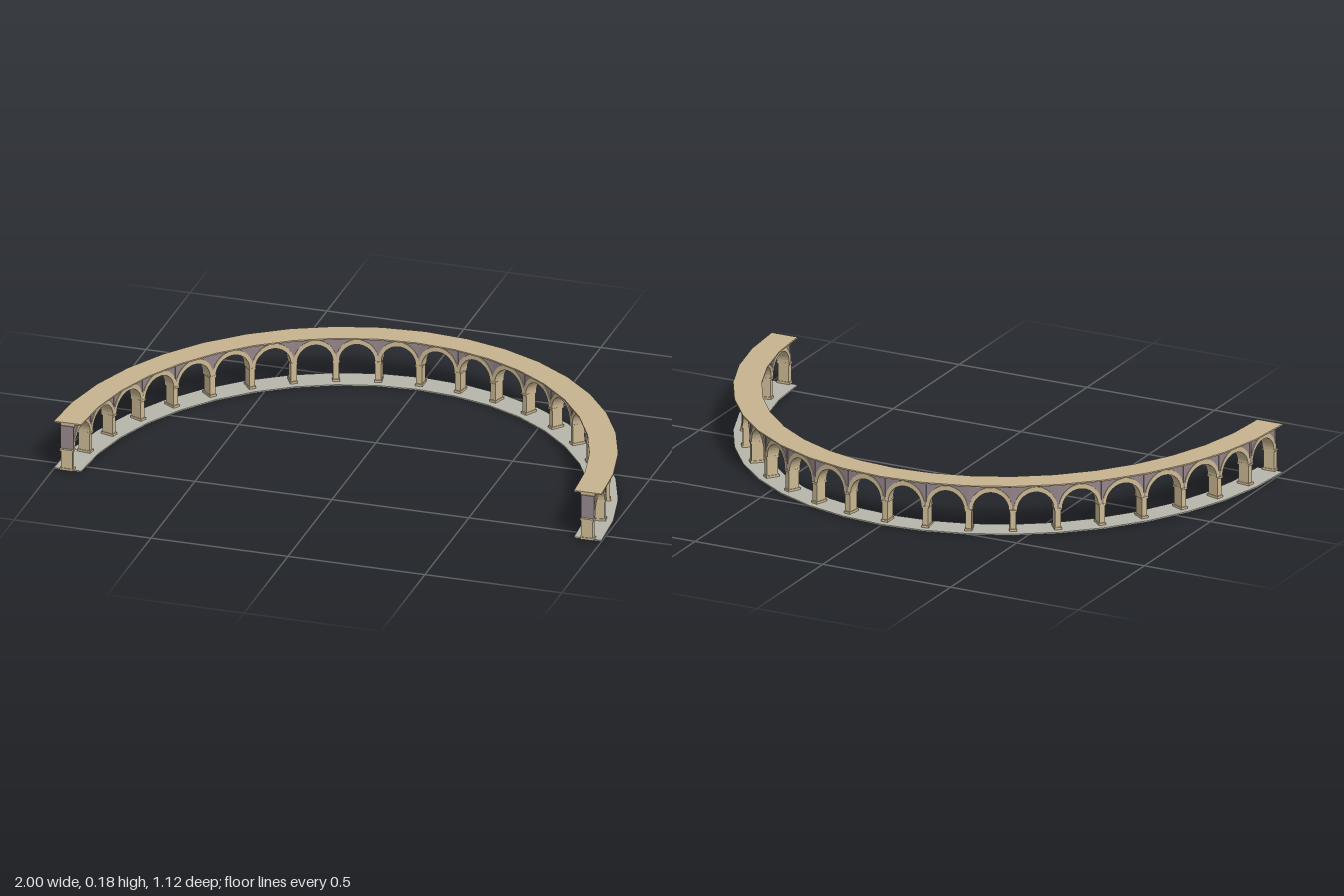
import * as THREE from 'three';

const BAYS = 20, ZC = 0.549;
const SPRING = 0.084, WALL_TOP = 0.17, RISE = 0.064;

const mat = (name, color) => {
  const m = new THREE.MeshStandardMaterial({ color });
  m.name = name;
  return m;
};

// point on the half-ellipse plan, at an offset from the arcade centreline
function plan(k, off = 0) {
  const t = (k / BAYS - 0.5) * Math.PI;
  return new THREE.Vector2((0.95 + off) * Math.sin(t), ZC - (1.06 + off) * Math.cos(t));
}

// curved slab of given half width between two heights
function band(name, half, y0, y1, material) {
  const pts = [];
  for (let k = 0; k <= BAYS; k++) pts.push(plan(k, half));
  for (let k = BAYS; k >= 0; k--) pts.push(plan(k, -half));
  const shape = new THREE.Shape(pts.map(p => new THREE.Vector2(p.x, -p.y)));
  const geo = new THREE.ExtrudeGeometry(shape, { depth: y1 - y0, bevelEnabled: false });
  geo.rotateX(-Math.PI / 2);
  const mesh = new THREE.Mesh(geo, material);
  mesh.name = name;
  mesh.position.y = y0;
  return mesh;
}

function box(name, w, y0, y1, d, material) {
  const mesh = new THREE.Mesh(new THREE.BoxGeometry(w, y1 - y0, d), material);
  mesh.name = name;
  mesh.position.y = (y0 + y1) / 2;
  return mesh;
}

// points of a half-ellipse from right to left
function halfEllipse(rx, ry, n = 18) {
  return Array.from({ length: n + 1 }, (_, i) => {
    const a = Math.PI * i / n;
    return new THREE.Vector2(rx * Math.cos(a), SPRING + ry * Math.sin(a));
  });
}

function extruded(name, pts, depth, material) {
  const geo = new THREE.ExtrudeGeometry(new THREE.Shape(pts), { depth, bevelEnabled: false });
  geo.translate(0, 0, -depth / 2);
  const mesh = new THREE.Mesh(geo, material);
  mesh.name = name;
  return mesh;
}

export function createModel() {
  const model = new THREE.Group();
  model.name = 'curvedArcade';
  const sand = mat('sandstone', 0xcdba94);
  const roofTan = mat('roofTan', 0xc6b38e);
  const mauve = mat('mauveWall', 0x94858a);
  const grey = mat('paving', 0xb6b6ac);

  // floor, cornice and roof follow the whole curve
  model.add(band('floor', 0.05, 0, 0.005, grey));
  model.add(band('cornice', 0.026, WALL_TOP - 0.002, 0.177, sand));
  model.add(band('roof', 0.05, 0.177, 0.182, roofTan));

  // piers at every joint
  for (let k = 0; k <= BAYS; k++) {
    const p = plan(k), t = (k / BAYS - 0.5) * Math.PI;
    const pier = new THREE.Group();
    pier.name = 'pier';
    pier.position.set(p.x, 0, p.y);
    pier.rotation.y = Math.atan2(-1.06 * Math.sin(t), 0.95 * Math.cos(t));
    pier.add(
      box('plinth', 0.026, 0.005, 0.013, 0.05, sand),
      box('shaft', 0.021, 0.013, 0.077, 0.042, sand),
      box('capital', 0.026, 0.077, SPRING, 0.05, sand),
      box('pilaster', 0.007, SPRING, WALL_TOP, 0.047, mauve)
    );
    model.add(pier);
  }

  // arched bays between the piers
  for (let k = 0; k < BAYS; k++) {
    const a = plan(k), b = plan(k + 1), d = b.clone().sub(a);
    const h = d.length() / 2, r = h - 0.013;
    const bay = new THREE.Group();
    bay.name = 'bay';
    bay.position.set((a.x + b.x) / 2, 0, (a.y + b.y) / 2);
    bay.rotation.y = Math.atan2(-d.y, d.x);
    const corners = [[-h, SPRING], [-h, WALL_TOP], [h, WALL_TOP], [h, SPRING]]
      .map(c => new THREE.Vector2(...c));
    bay.add(extruded('spandrelWall', [...corners, ...halfEllipse(r + 0.004, RISE + 0.004)], 0.042, mauve));
    const outer = halfEllipse(r + 0.0125, RISE + 0.018);
    bay.add(extruded('archRing', [...outer, ...halfEllipse(r, RISE).reverse()], 0.047, sand));
    model.add(bay);
  }
  return model;
}
